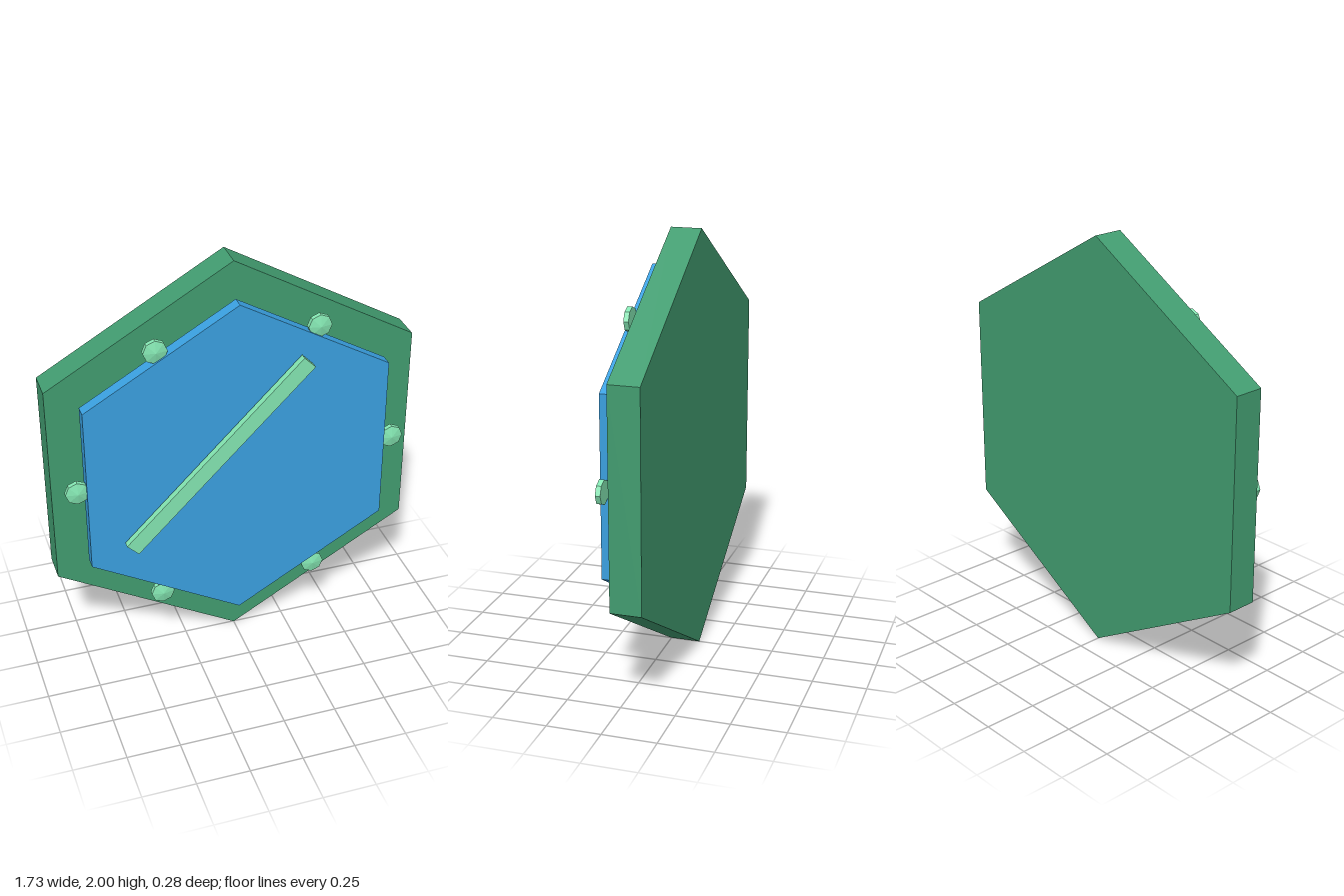
import * as THREE from 'three';

const mat = (color) => new THREE.MeshStandardMaterial({ color, flatShading: true });

// Pointy-topped hexagonal plate spanning z0..z1
function hexPlate(name, radius, z0, z1, material) {
  const geo = new THREE.CylinderGeometry(radius, radius, z1 - z0, 6);
  geo.rotateX(Math.PI / 2);
  const mesh = new THREE.Mesh(geo, material);
  mesh.name = name;
  mesh.position.set(0, 1, (z0 + z1) / 2);
  return mesh;
}

export function createModel() {
  const model = new THREE.Group();
  model.name = 'hexagonalPanel';
  const frameMat = mat(0x429c70);
  const paneMat = mat(0x3aa0e0);
  const trimMat = mat(0x84e6b2);

  // Thick backing frame and the floating pane in front of it
  model.add(hexPlate('backFrame', 1, -0.14, 0.003, frameMat));
  model.add(hexPlate('pane', 0.83, 0.03, 0.09, paneMat));

  // Diagonal glint bar
  const bar = new THREE.Mesh(new THREE.BoxGeometry(1.195, 0.077, 0.033), trimMat);
  bar.name = 'glintBar';
  bar.position.set(-0.11, 1.095, 0.124);
  bar.rotation.z = Math.PI / 4;
  model.add(bar);

  // Six faceted studs, each a short octagonal drum with a shallow point
  const profile = [[0, 0], [0.056, 0], [0.056, 0.023], [0, 0.035]];
  const studGeo = new THREE.LatheGeometry(profile.map(([r, h]) => new THREE.Vector2(r, h)), 8);
  studGeo.rotateX(Math.PI / 2);
  const studs = new THREE.Group();
  studs.name = 'studs';
  for (let i = 0; i < 6; i++) {
    const a = (i * Math.PI) / 3;
    const stud = new THREE.Mesh(studGeo, trimMat);
    stud.name = 'stud';
    stud.position.set(0.76 * Math.cos(a), 1 + 0.76 * Math.sin(a), 0.056);
    studs.add(stud);
  }
  model.add(studs);
  return model;
}
